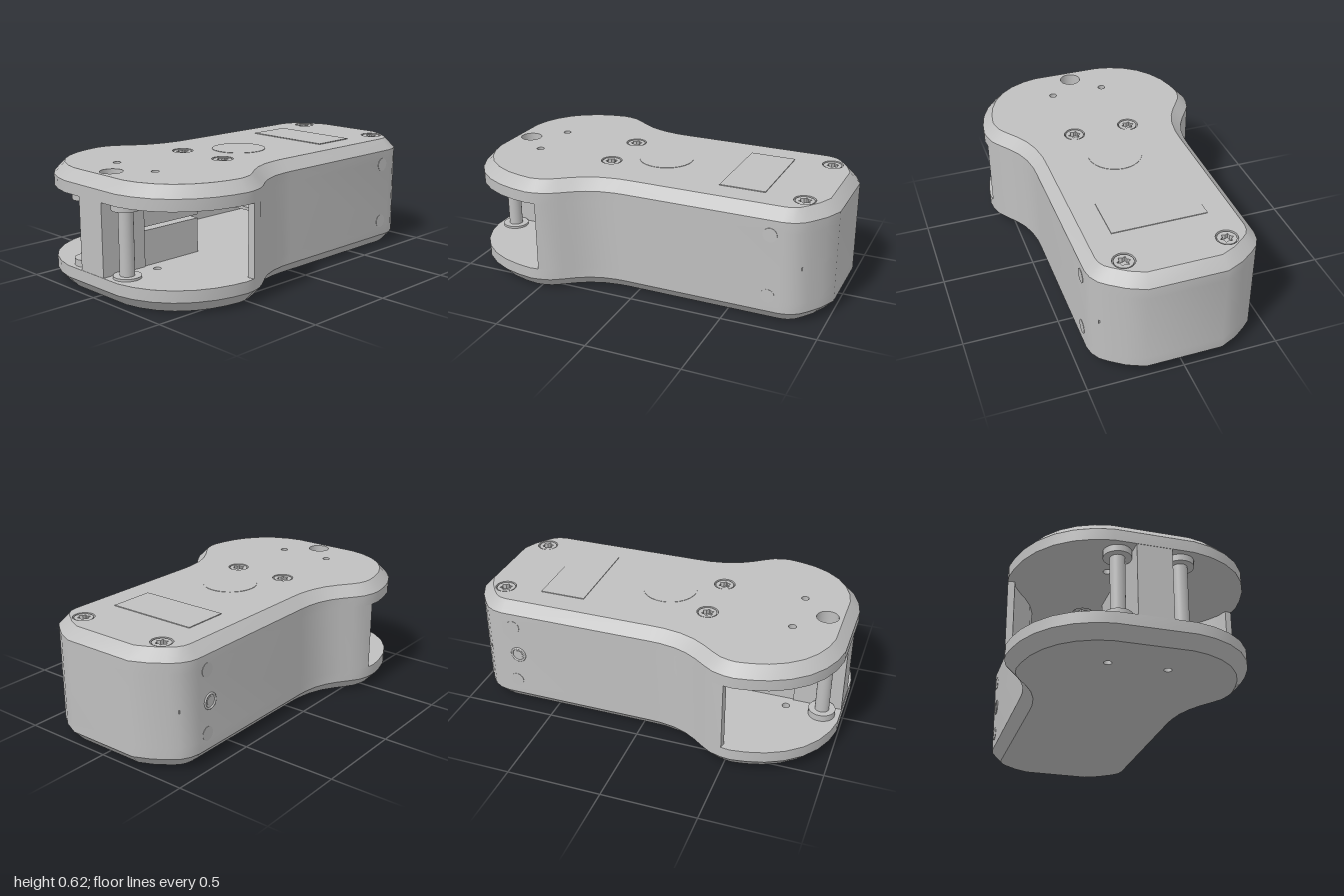
import * as THREE from 'three';
import { toCreasedNormals } from 'three/addons/utils/BufferGeometryUtils.js';

const grey = new THREE.MeshStandardMaterial({ color: 0xbfbfbf, side: THREE.DoubleSide });
grey.name = 'plain grey';

// Right half of the plan outline as [x, z], front to back
const half = [
  [0.2, 1], [0.29, 0.98], [0.38, 0.94], [0.46, 0.88], [0.525, 0.8], [0.57, 0.71], [0.595, 0.62],
  [0.607, 0.54], [0.602, 0.49], [0.585, 0.43], [0.55, 0.375], [0.51, 0.32], [0.475, 0.26],
  [0.45, 0.19], [0.437, 0.11], [0.435, 0.05], [0.435, -0.78], [0.425, -0.83], [0.4, -0.875],
  [0.36, -0.91], [0.29, -0.96], [0.2, -1],
];
const V = (x, y) => new THREE.Vector2(x, y);
// Plan points use (x, -z), running counter-clockwise seen from above
const outline = [
  ...half.map(([x, z]) => V(x, -z)),
  ...half.slice().reverse().map(([x, z]) => V(-x, -z)),
];

// Mitred inward offset of a closed loop
function inset(pts, d) {
  const n = pts.length;
  return pts.map((p, i) => {
    const a = p.clone().sub(pts[(i + n - 1) % n]).normalize();
    const b = pts[(i + 1) % n].clone().sub(p).normalize();
    const m = V(-a.y - b.y, a.x + b.x).normalize();
    return p.clone().addScaledVector(m, d / (m.x * -a.y + m.y * a.x));
  });
}

// Band of quads through loops of equal length, listed bottom to top
function loft(loops) {
  const pos = [], idx = [], n = loops[0].pts.length;
  for (const { pts, y } of loops) for (const p of pts) pos.push(p.x, y, -p.y);
  for (let k = 0; k < loops.length - 1; k++) {
    for (let i = 0; i < n; i++) {
      const a = k * n + i, b = k * n + (i + 1) % n;
      idx.push(a, b, b + n, a, b + n, a + n);
    }
  }
  const g = new THREE.BufferGeometry();
  g.setAttribute('position', new THREE.Float32BufferAttribute(pos, 3));
  g.setIndex(idx);
  return toCreasedNormals(g, 0.45);
}

function add(parent, name, geometry, x = 0, y = 0, z = 0) {
  const m = new THREE.Mesh(geometry, grey);
  m.name = name;
  m.position.set(x, y, z);
  parent.add(m);
  return m;
}
const cyl = (r, h, open = false) => new THREE.CylinderGeometry(r, r, h, 28, 1, open);
const box = (parent, name, x0, x1, y0, y1, z0, z1) =>
  add(parent, name, new THREE.BoxGeometry(x1 - x0, y1 - y0, z1 - z0),
    (x0 + x1) / 2, (y0 + y1) / 2, (z0 + z1) / 2);

// Flat cap with round holes, facing up or down
function cap(pts, y, holes, up) {
  const s = up ? 1 : -1;
  const shape = new THREE.Shape(pts.map((p) => V(p.x, s * p.y)));
  for (const [x, z, r] of holes) {
    shape.holes.push(new THREE.Path().absarc(x, -s * z, r, 0, Math.PI * 2));
  }
  return new THREE.ShapeGeometry(shape, 14).rotateX(-s * Math.PI / 2).translate(0, y, 0);
}

// Bevelled shell plate from its loops, pierced by holes
function plate(name, loops, holes) {
  const g = new THREE.Group();
  g.name = name;
  const lo = loops[0], hi = loops[loops.length - 1];
  add(g, name + 'Rim', loft(loops));
  add(g, name + 'Underside', cap(lo.pts, lo.y, holes, false));
  add(g, name + 'Face', cap(hi.pts, hi.y, holes, true));
  for (const [x, z, r] of holes) {
    add(g, name + 'HoleWall', cyl(r, hi.y - lo.y, true), x, (lo.y + hi.y) / 2, z);
  }
  return g;
}

// Screw head with a six-lobed socket
function screwHead(parent, x, z, y0, y1) {
  const s = new THREE.Shape().absarc(0, 0, 0.049, 0, Math.PI * 2);
  const star = [];
  for (let i = 0; i < 12; i++) {
    const r = i % 2 ? 0.022 : 0.034, a = i * Math.PI / 6;
    star.push(V(r * Math.cos(a), r * Math.sin(a)));
  }
  s.holes.push(new THREE.Path(star));
  const g = new THREE.ExtrudeGeometry(s, { depth: y1 - y0, bevelEnabled: false, curveSegments: 14 });
  add(parent, 'screwHead', toCreasedNormals(g.rotateX(-Math.PI / 2), 0.5), x, y0, z);
  add(parent, 'screwSocketFloor', cyl(0.045, 0.01), x, y1 - 0.03, z);
}

export function createModel() {
  const model = new THREE.Group();
  model.name = 'handheldCase';
  const bevel = inset(outline, 0.055);
  const pins = [[-0.15, 0.715, 0.02], [0.15, 0.715, 0.02]];
  const screws = [[-0.26, -0.835], [0.26, -0.835], [-0.155, 0.27], [0.155, 0.27]];

  // Lower and upper shell plates
  model.add(plate('bottomPlate', [
    { pts: bevel, y: 0 }, { pts: outline, y: 0.06 }, { pts: outline, y: 0.12 },
  ], pins));
  model.add(plate('topPlate', [
    { pts: outline, y: 0.495 }, { pts: outline, y: 0.555 }, { pts: bevel, y: 0.612 },
  ], [...pins, ...screws.map(([x, z]) => [x, z, 0.056]), [0, 0.865, 0.058]]));
  for (const [x, z] of screws) screwHead(model, x, z, 0.5, 0.609);
  screwHead(model, 0, 0.865, 0.495, 0.53);

  // Thin side and back wall, open at the front
  const k = half.findIndex(([, z]) => z <= 0.49);
  const cut = (pts) => pts.slice(k, pts.length - k);
  const wall = new THREE.Shape([...cut(outline), ...cut(inset(outline, 0.035)).reverse()]);
  const wallGeo = new THREE.ExtrudeGeometry(wall, { depth: 0.375, bevelEnabled: false });
  add(model, 'sideWall', toCreasedNormals(wallGeo.rotateX(-Math.PI / 2), 0.45), 0, 0.12, 0);

  // Front post and slotted centre spine
  box(model, 'frontPost', -0.088, 0.088, 0.12, 0.495, 0.74, 0.998);
  box(model, 'lowerSpine', -0.08, 0.08, 0.12, 0.303, 0.38, 0.74);
  box(model, 'upperSpine', -0.08, 0.08, 0.322, 0.495, 0.38, 0.74);
  // Inner board
  box(model, 'innerBoard', -0.4, 0.4, 0.3, 0.317, -0.88, 0.08);

  // Upright rollers beside the post
  for (const side of [-1, 1]) {
    const roller = new THREE.Group();
    roller.name = side > 0 ? 'leftRoller' : 'rightRoller';
    roller.position.set(side * 0.156, 0, 0.906);
    const foot = side > 0 ? 0.012 : 0.035;
    add(roller, 'shaft', cyl(0.037, 0.375), 0, 0.3075, 0);
    add(roller, 'topCollar', cyl(0.07, 0.034), 0, 0.475, 0);
    add(roller, 'bottomCollar', cyl(0.07, foot), 0, 0.12 + foot / 2, 0);
    model.add(roller);
  }

  // Label panel and round button on the top face
  box(model, 'labelPanel', -0.25, 0.25, 0.611, 0.616, -0.63, -0.385);
  add(model, 'roundButton', cyl(0.145, 0.004), 0.01, 0.612, 0.01);

  // Plugs on both sides, and a socket ring on one side
  const quarter = Math.PI / 2;
  for (const side of [-1, 1]) {
    for (const y of [0.145, 0.477]) {
      add(model, 'sidePlug', cyl(0.037, 0.004), side * 0.435, y, -0.72).rotation.z = quarter;
    }
  }
  add(model, 'socketRing', new THREE.TorusGeometry(0.038, 0.006, 8, 28), -0.435, 0.31, -0.7)
    .rotation.y = quarter;
  add(model, 'socketFace', cyl(0.024, 0.005), -0.435, 0.31, -0.7).rotation.z = quarter;
  return model;
}
